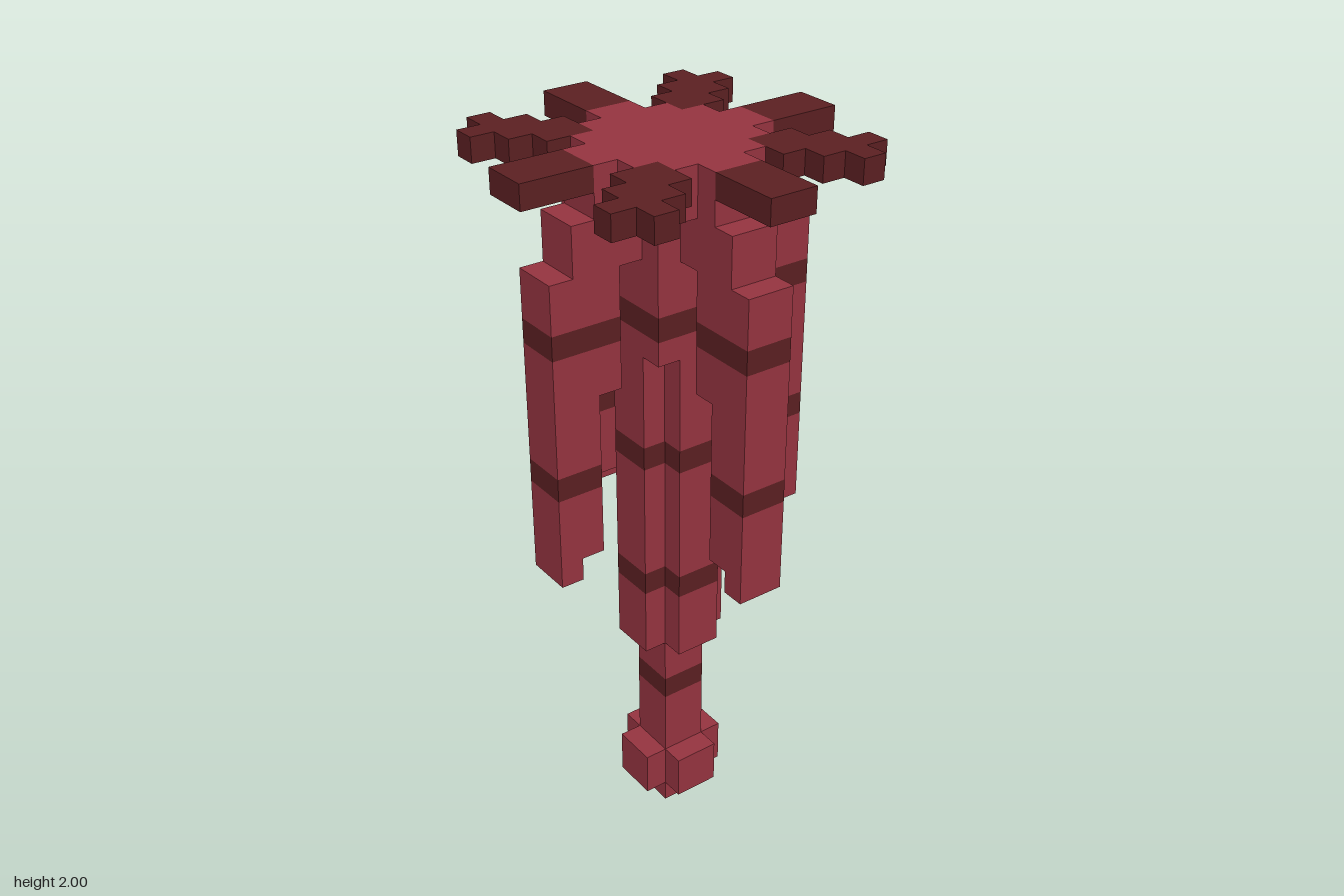
import * as THREE from 'three';

const U = 2 / 31; // one block
const BANDS = [6, 12, 18, 24]; // dark rings, each one block high

export function createModel() {
  const red = new THREE.MeshStandardMaterial({ color: 0x963440 });
  red.name = 'crimson';
  const dark = new THREE.MeshStandardMaterial({ color: 0x5c2022 });
  dark.name = 'dark maroon';

  const model = new THREE.Group();
  model.name = 'hangingRoot';

  // Box given by its limits in blocks
  function box(parent, name, mat, [x0, x1], [y0, y1], [z0, z1]) {
    const geo = new THREE.BoxGeometry((x1 - x0) * U, (y1 - y0) * U, (z1 - z0) * U);
    const mesh = new THREE.Mesh(geo, mat);
    mesh.position.set((x0 + x1) * U / 2, (y0 + y1) * U / 2, (z0 + z1) * U / 2);
    mesh.name = name;
    parent.add(mesh);
  }

  // Red column cut by the dark rings
  function banded(parent, name, xs, [y0, y1], zs) {
    let y = y0;
    for (const b of BANDS) {
      if (b < y0 || b + 1 > y1) continue;
      if (b > y) box(parent, name, red, xs, [y, b], zs);
      box(parent, name + 'Band', dark, xs, [b, b + 1], zs);
      y = b + 1;
    }
    if (y < y1) box(parent, name, red, xs, [y, y1], zs);
  }

  // Central stem
  banded(model, 'stem', [-1, 1], [0, 23], [-1, 1]);
  banded(model, 'upperStem', [-2, 2], [23, 29], [-2, 2]);
  box(model, 'collar', red, [-3, 3], [29, 30], [-3, 3]);
  box(model, 'crown', red, [-2, 2], [30, 31], [-2, 2]);

  // Stepped outline of a diagonal leaf
  const leafShape = new THREE.Shape([
    [2, 2], [4, 2], [4, 3], [5, 3], [5, 4], [6, 4], [6, 5], [5, 5],
    [5, 6], [4, 6], [4, 5], [3, 5], [3, 4], [2, 4],
  ].map(([x, z]) => new THREE.Vector2(x * U, z * U)));
  const leafGeo = new THREE.ExtrudeGeometry(leafShape, { depth: U, bevelEnabled: false });
  leafGeo.rotateX(Math.PI / 2);
  leafGeo.translate(0, 2, 0);

  // Four identical sides around the stem
  for (let i = 0; i < 4; i++) {
    const side = new THREE.Group();
    side.name = 'side' + (i + 1);
    side.rotation.y = i * Math.PI / 2;
    model.add(side);

    box(side, 'tipKnob', red, [1, 2], [1, 3], [-1, 1]);
    banded(side, 'stemRib', [1, 2], [9, 23], [-1, 1]);

    // Hanging root, stepped towards its tip
    box(side, 'rootShoulder', red, [2, 5], [27, 29], [-1, 1]);
    banded(side, 'rootInner', [3, 4], [22, 27], [-1, 1]);
    banded(side, 'rootMiddle', [4, 5], [15, 27], [-1, 1]);
    banded(side, 'rootOuter', [5, 6], [14, 27], [-1, 1]);
    box(side, 'collarArm', red, [3, 4], [29, 30], [-1, 1]);

    // Crown edge and leaves
    box(side, 'crownEdge', red, [2, 3], [30, 31], [-2, 2]);
    box(side, 'crownArm', red, [3, 4], [30, 31], [-1, 1]);
    box(side, 'straightLeaf', dark, [4, 7], [30, 31], [-1, 1]);
    const leaf = new THREE.Mesh(leafGeo, dark);
    leaf.name = 'diagonalLeaf';
    side.add(leaf);
  }
  return model;
}
